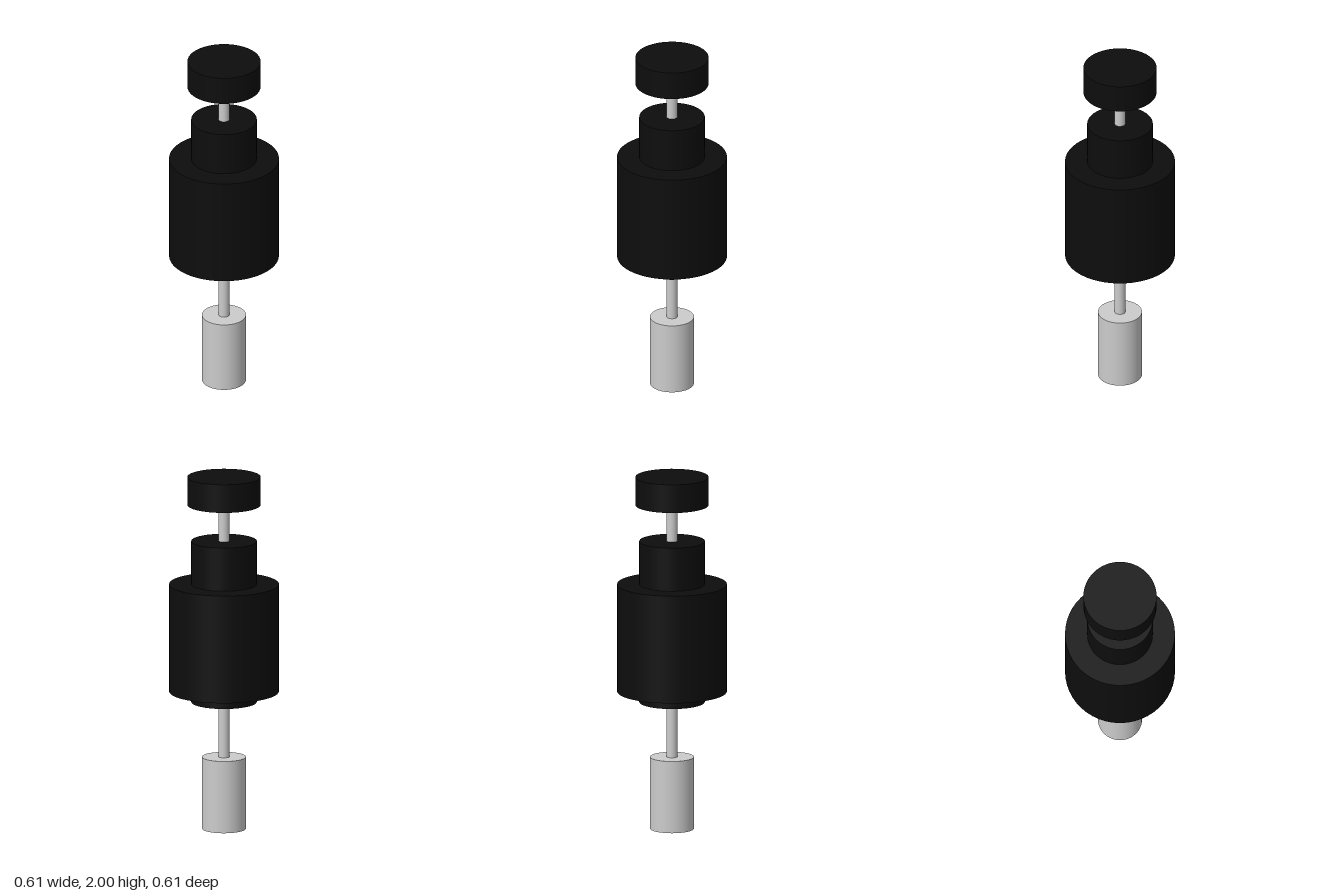
import * as THREE from 'three';

const grey = new THREE.MeshStandardMaterial({ color: 0xcccccc });
const black = new THREE.MeshStandardMaterial({ color: 0x0d0d0d });

// Upright cylinder spanning y0 to y1
function disc(name, radius, y0, y1, material, segments = 48) {
  const geometry = new THREE.CylinderGeometry(radius, radius, y1 - y0, segments);
  geometry.translate(0, (y0 + y1) / 2, 0);
  const mesh = new THREE.Mesh(geometry, material);
  mesh.name = name;
  return mesh;
}

export function createModel() {
  const model = new THREE.Group();
  model.name = 'plunger';

  // Metal rod running through the housing, with a foot at its lower end
  model.add(disc('foot', 0.122, 0, 0.408, grey));
  model.add(disc('rod', 0.03, 0.4, 1.85, grey, 32));

  // Housing: wide body around a narrower sleeve that shows at both ends
  model.add(disc('sleeve', 0.182, 0.72, 1.635, black));
  model.add(disc('body', 0.305, 0.78, 1.39, black));

  // Push button: black side and top, bare metal underside
  model.add(disc('button', 0.203, 1.84, 2, [black, black, grey]));

  return model;
}
